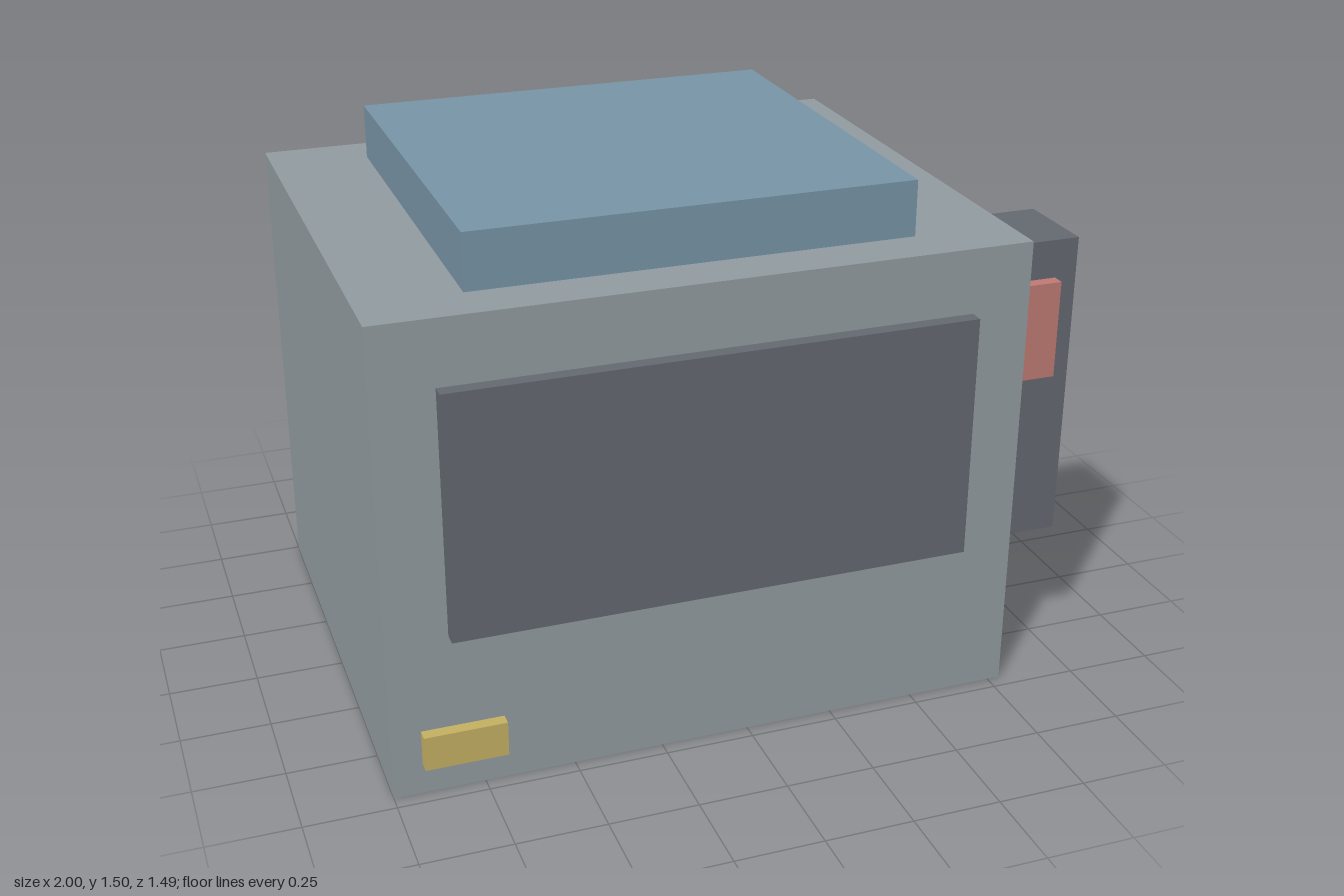
import * as THREE from 'three';

export function createModel() {
  const model = new THREE.Group();
  model.name = 'machine';

  const paint = (name, color) => {
    const material = new THREE.MeshStandardMaterial({ color });
    material.name = name;
    return material;
  };
  const grey = paint('bodyGrey', 0x929da1);
  const dark = paint('darkGrey', 0x646a71);
  const blue = paint('lidBlue', 0x7895a7);
  const red = paint('handleRed', 0xc07b74);
  const yellow = paint('labelYellow', 0xc5b163);

  // Adds a box spanning the given ranges on each axis
  const block = (name, material, [x0, x1], [y0, y1], [z0, z1]) => {
    const mesh = new THREE.Mesh(new THREE.BoxGeometry(x1 - x0, y1 - y0, z1 - z0), material);
    mesh.position.set((x0 + x1) / 2, (y0 + y1) / 2, (z0 + z1) / 2);
    mesh.name = name;
    model.add(mesh);
  };

  // Main housing and raised lid
  block('body', grey, [-1, 0.787], [0, 1.343], [-0.747, 0.707]);
  block('lid', blue, [-0.72, 0.51], [1.343, 1.5], [-0.608, 0.567]);

  // Front panel and small label
  block('frontPanel', dark, [-0.832, 0.622], [0.464, 1.16], [0.707, 0.747]);
  block('label', yellow, [-0.918, -0.692], [0.091, 0.191], [0.707, 0.742]);

  // Side unit with its plate
  block('sideUnit', dark, [0.787, 1], [0.394, 1.288], [0.331, 0.583]);
  block('sidePlate', red, [0.787, 0.936], [0.897, 1.178], [0.583, 0.619]);

  return model;
}
